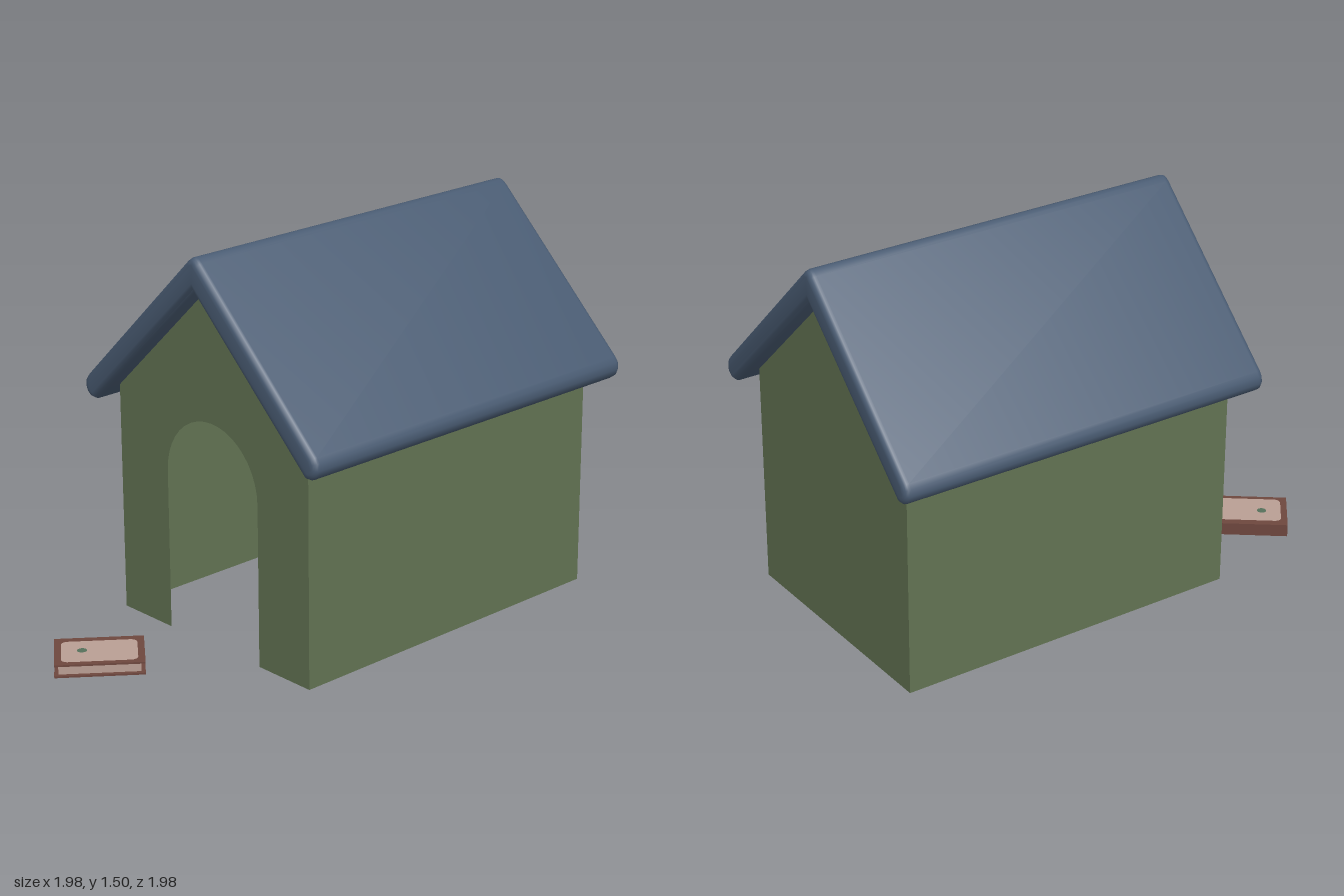
import * as THREE from 'three';
import { toCreasedNormals } from 'three/addons/utils/BufferGeometryUtils.js';

function material(name, color, side = THREE.FrontSide) {
  const m = new THREE.MeshStandardMaterial({ color, side });
  m.name = name;
  return m;
}

function part(parent, name, geometry, mat, x = 0, y = 0, z = 0) {
  const mesh = new THREE.Mesh(geometry, mat);
  mesh.name = name;
  mesh.position.set(x, y, z);
  parent.add(mesh);
  return mesh;
}

const HALF_W = 0.505, HALF_L = 0.708, FLOOR = 0.01, EAVE = 0.89;

// Pentagonal end wall whose peak is tucked into the roof
function gableShape() {
  return new THREE.Shape([
    [-HALF_W, FLOOR], [HALF_W, FLOOR], [HALF_W, EAVE + 0.03], [0, 1.41], [-HALF_W, EAVE + 0.03],
  ].map(p => new THREE.Vector2(...p)));
}

// The same wall with an arched doorway open to the ground
function doorwayShape() {
  const r = 0.243, spring = 0.632;
  const s = new THREE.Shape();
  s.moveTo(-HALF_W, FLOOR);
  s.lineTo(-r, FLOOR);
  s.lineTo(-r, spring);
  s.absarc(0, spring, r, Math.PI, 0, true);
  s.lineTo(r, FLOOR);
  s.lineTo(HALF_W, FLOOR);
  s.lineTo(HALF_W, EAVE + 0.03);
  s.lineTo(0, 1.41);
  s.lineTo(-HALF_W, EAVE + 0.03);
  s.closePath();
  return s;
}

// Thick folded roof with rounded eaves, ridge and ends
function roofGeometry() {
  const half = [
    [0.563, 0.84], [0.59, 0.841], [0.612, 0.857], [0.622, 0.882], [0.618, 0.908], [0.605, 0.927],
    [0.03, 1.484], [0.014, 1.496],
  ];
  const right = half.map(([x, y]) => new THREE.Vector2(x, y));
  const left = half.map(([x, y]) => new THREE.Vector2(-x, y)).reverse();
  const outline = [new THREE.Vector2(0, 1.375), ...right, new THREE.Vector2(0, 1.5), ...left];
  const bevel = 0.025, length = 1.57;
  const g = new THREE.ExtrudeGeometry(new THREE.Shape(outline), {
    depth: length - 2 * bevel, bevelEnabled: true, bevelThickness: bevel,
    bevelSize: bevel, bevelOffset: -bevel, bevelSegments: 4,
  });
  g.translate(0, 0, -length / 2 + bevel);
  return toCreasedNormals(g, 0.9);
}

// Flat panel with rounded corners, lying face up
function panelGeometry(w, d, r) {
  const x = w / 2, y = d / 2;
  const s = new THREE.Shape();
  s.absarc(x - r, y - r, r, 0, Math.PI / 2);
  s.absarc(r - x, y - r, r, Math.PI / 2, Math.PI);
  s.absarc(r - x, r - y, r, Math.PI, Math.PI * 1.5);
  s.absarc(x - r, r - y, r, Math.PI * 1.5, Math.PI * 2);
  return new THREE.ShapeGeometry(s, 5).rotateX(-Math.PI / 2);
}

export function createModel() {
  const model = new THREE.Group();
  model.name = 'kennelWithBook';

  const wall = material('mossGreenWall', 0x627353, THREE.DoubleSide);
  const roof = material('slateBlueRoof', 0x495b72);
  const cover = material('brownCover', 0x6e473e);
  const paper = material('palePinkPaper', 0xb99e94);
  const spot = material('greenSpot', 0x55705a);

  // Kennel, turned on the ground
  const kennel = new THREE.Group();
  kennel.name = 'kennel';
  kennel.position.set(0.0175, 0, 0.0025);
  kennel.rotation.y = -0.675;
  model.add(kennel);

  part(kennel, 'frontWall', new THREE.ShapeGeometry(doorwayShape(), 10), wall, 0, 0, HALF_L);
  part(kennel, 'backWall', new THREE.ShapeGeometry(gableShape()).rotateY(Math.PI), wall, 0, 0, -HALF_L);
  const wallH = EAVE + 0.02 - FLOOR;
  for (const side of [-1, 1]) {
    const g = new THREE.PlaneGeometry(HALF_L * 2, wallH).rotateY(side * Math.PI / 2);
    part(kennel, side > 0 ? 'leftWall' : 'rightWall', g, wall, side * HALF_W, FLOOR + wallH / 2, 0);
  }
  part(kennel, 'roof', roofGeometry(), roof);

  // Closed book beside the doorway, spine at its back edge
  const book = new THREE.Group();
  book.name = 'book';
  book.position.set(-0.815, 0, 0.728);
  book.rotation.y = 0.23;
  model.add(book);

  const W = 0.326, D = 0.226, H = 0.05, T = 0.007;
  part(book, 'bottomCover', new THREE.BoxGeometry(W, T, D), cover, 0, T / 2, 0);
  part(book, 'topCover', new THREE.BoxGeometry(W, T, D), cover, 0, H - T / 2, 0);
  part(book, 'spine', new THREE.BoxGeometry(W, H - 2 * T, T), cover, 0, H / 2, -D / 2 + T / 2);
  part(book, 'pages', new THREE.BoxGeometry(W - 0.03, H - 2 * T, D - 0.022), paper, 0, H / 2, -0.004);
  part(book, 'coverPanel', panelGeometry(W - 0.05, D - 0.052, 0.025), paper, 0, H + 0.001, 0.005);

  // Small printed spot on the cover
  part(book, 'coverSpot', new THREE.CircleGeometry(0.019, 9).rotateX(-Math.PI / 2), spot, -0.062, H + 0.002, -0.002);

  return model;
}
